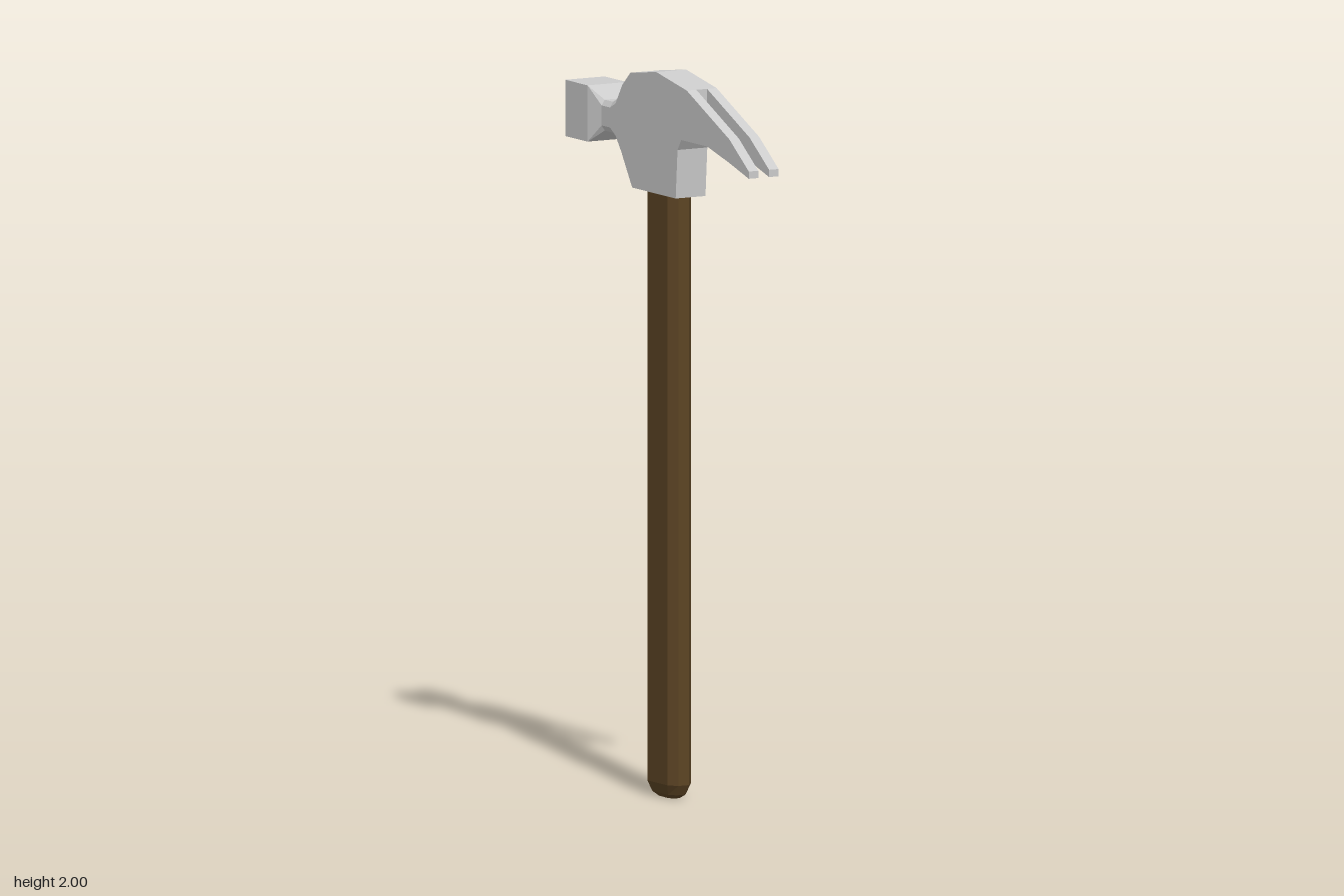
import * as THREE from 'three';

const steel = new THREE.MeshStandardMaterial({ color: 0xcccccc, flatShading: true });
const wood = new THREE.MeshStandardMaterial({ color: 0x5c4424, flatShading: true });

// Lofts chamfered rectangles along +z.
// Section: [z, half width, low, high, chamfer in x, chamfer in y]
function loft(sections) {
  const pos = [], index = [], n = 8;
  for (const [z, w, lo, hi, cx, cy] of sections) {
    pos.push(w, lo + cy, z, w, hi - cy, z, w - cx, hi, z, cx - w, hi, z,
      -w, hi - cy, z, -w, lo + cy, z, cx - w, lo, z, w - cx, lo, z);
  }
  for (let s = 0; s < sections.length - 1; s++) {
    for (let i = 0; i < n; i++) {
      const a = s * n + i, b = s * n + (i + 1) % n;
      index.push(a, b, b + n, a, b + n, a + n);
    }
  }
  const last = (sections.length - 1) * n;
  for (let i = 1; i < n - 1; i++) {
    index.push(0, i + 1, i, last, last + i, last + i + 1);
  }
  const indexed = new THREE.BufferGeometry();
  indexed.setAttribute('position', new THREE.Float32BufferAttribute(pos, 3));
  indexed.setIndex(index);
  const geo = indexed.toNonIndexed();
  geo.computeVertexNormals();
  return geo;
}

// Extrudes a (z, y) outline across x
function slab(points, xMin, xMax) {
  const shape = new THREE.Shape(points.map(([z, y]) => new THREE.Vector2(z, y)));
  const geo = new THREE.ExtrudeGeometry(shape, { depth: xMax - xMin, bevelEnabled: false });
  return geo.rotateY(-Math.PI / 2).translate(xMax, 0, 0);
}

export function createModel() {
  const model = new THREE.Group();
  model.name = 'clawHammer';
  const add = (parent, name, geo, material) => {
    const mesh = new THREE.Mesh(geo, material);
    mesh.name = name;
    parent.add(mesh);
  };

  // Handle: flattened octagon with a rounded butt
  const handle = loft([
    [0, 0.017, -0.02, 0.06, 0.008, 0.015],
    [0.012, 0.028, -0.043, 0.085, 0.014, 0.022],
    [0.04, 0.037, -0.058, 0.1, 0.02, 0.025],
    [1.68, 0.037, -0.058, 0.1, 0.02, 0.025],
  ]).rotateX(-Math.PI / 2);
  add(model, 'handle', handle, wood);

  const head = new THREE.Group();
  head.name = 'head';
  model.add(head);

  // Cheeks carry the full outline and run out into the two claw prongs
  const body = [[0.155, 1.97], [-0.01, 2], [-0.15, 1.98], [-0.195, 1.94], [-0.195, 1.75],
    [-0.14, 1.665], [0.095, 1.665], [0.105, 1.8], [0.125, 1.83]];
  const claw = [[0.265, 1.83], [0.385, 1.8], [0.49, 1.77], [0.49, 1.79], [0.385, 1.865]];
  add(head, 'leftCheekAndProng', slab([...body, ...claw], 0.017, 0.047), steel);
  add(head, 'rightCheekAndProng', slab([...body, ...claw], -0.047, -0.017), steel);

  // Core stops where the nail slot begins
  add(head, 'core', slab([...body, [0.155, 1.83]], -0.017, 0.017), steel);

  // Chamfered neck flaring into the square striking block
  add(head, 'neckAndFace', loft([
    [-0.49, 0.05, 1.772, 1.913, 0, 0],
    [-0.475, 0.062, 1.765, 1.92, 0, 0],
    [-0.355, 0.062, 1.765, 1.92, 0, 0],
    [-0.305, 0.047, 1.8, 1.885, 0.01, 0.015],
    [-0.26, 0.047, 1.8, 1.885, 0.01, 0.015],
    [-0.23, 0.047, 1.782, 1.9, 0.01, 0.015],
    [-0.194, 0.047, 1.75, 1.94, 0, 0],
  ]), steel);

  return model;
}
